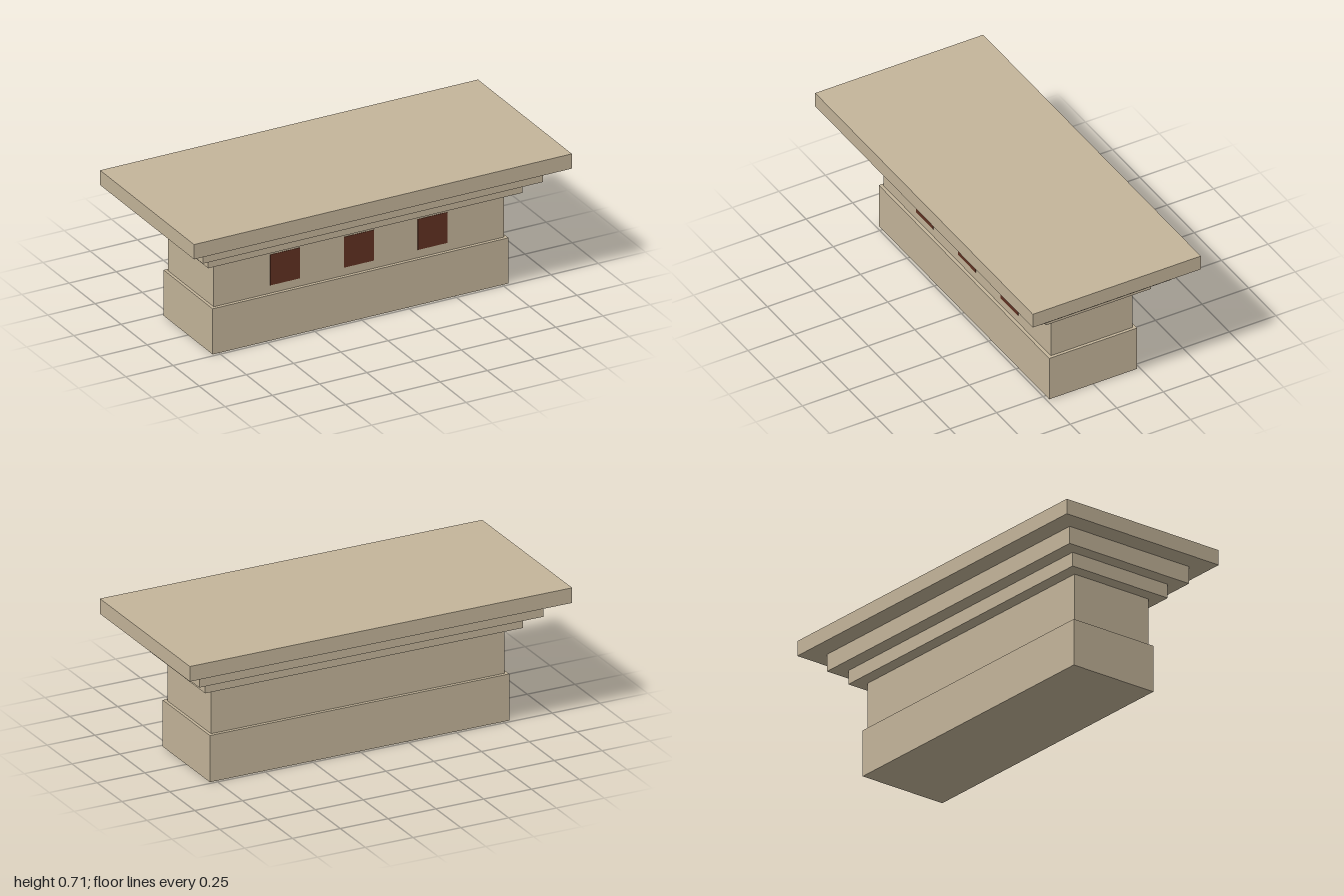
import * as THREE from 'three';

export function createModel() {
  const model = new THREE.Group();
  model.name = 'steppedPedestal';

  const stone = new THREE.MeshStandardMaterial({ color: 0xc4b59a });
  stone.name = 'sandstone';
  const brown = new THREE.MeshStandardMaterial({ color: 0x603121 });
  brown.name = 'darkBrown';

  // Stacked blocks: name, half width, half depth, bottom, top
  const tiers = [
    ['base', 0.783, 0.236, 0, 0.235],
    ['body', 0.768, 0.219, 0.235, 0.475],
    ['lowerMoulding', 0.832, 0.282, 0.475, 0.545],
    ['upperMoulding', 0.9, 0.354, 0.545, 0.632],
    ['topSlab', 1, 0.451, 0.632, 0.708],
  ];
  for (const [name, halfX, halfZ, bottom, top] of tiers) {
    const tier = new THREE.Mesh(new THREE.BoxGeometry(halfX * 2, top - bottom, halfZ * 2), stone);
    tier.name = name;
    tier.position.y = (bottom + top) / 2;
    model.add(tier);
  }

  // Three square inlays, almost flush with the front of the body
  const inlayGeometry = new THREE.BoxGeometry(0.158, 0.158, 0.004);
  ['rightInlay', 'middleInlay', 'leftInlay'].forEach((name, i) => {
    const inlay = new THREE.Mesh(inlayGeometry, brown);
    inlay.name = name;
    inlay.position.set((i - 1) * 0.39, 0.355, 0.219);
    model.add(inlay);
  });

  return model;
}
